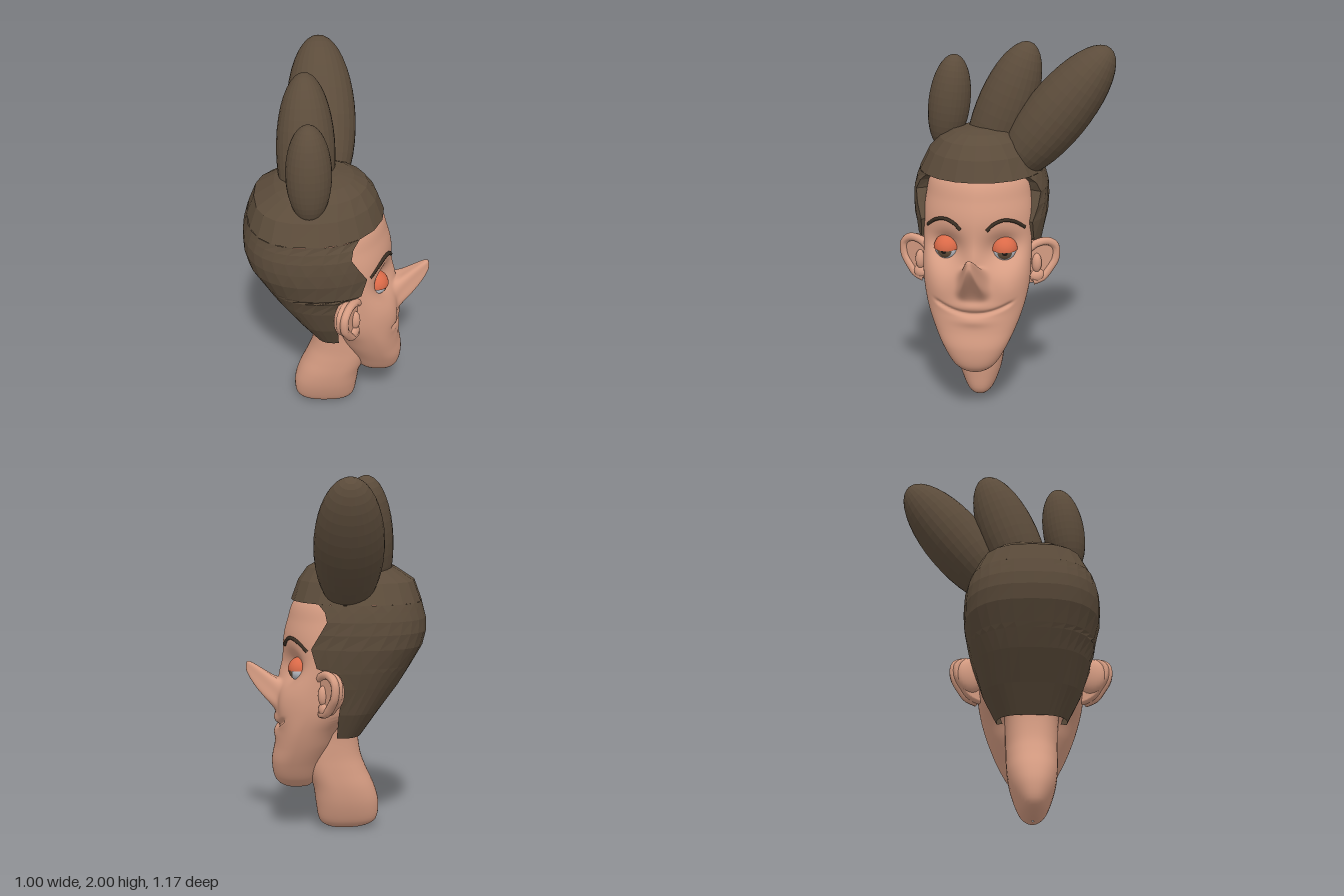
import * as THREE from 'three';

const mat = (name, color) => Object.assign(new THREE.MeshStandardMaterial({ color }), { name });
const gauss = (d, s) => Math.exp(-(d * d) / (2 * s * s));
const spow = (v, p) => Math.sign(v) * Math.pow(Math.abs(v), p);

// Skin of quads over a grid of points: rows run upward, columns from +x towards +z
function skin(rows, wrap, smooth) {
  const n = rows[0].length, index = [];
  for (let r = 0; r < rows.length - 1; r++) {
    for (let c = 0; c < (wrap ? n : n - 1); c++) {
      const a = r * n + c, b = r * n + (c + 1) % n;
      index.push(a, a + n, b, b, a + n, b + n);
    }
  }
  let g = new THREE.BufferGeometry();
  g.setAttribute('position', new THREE.Float32BufferAttribute(rows.flat(2), 3));
  g.setIndex(index);
  if (!smooth) g = g.toNonIndexed();
  g.computeVertexNormals();
  return g;
}

// Smoothly interpolates a table of [y, back, front, halfWidth] at t in 0..1
function sampleTable(table, t) {
  const f = t * (table.length - 1), i = Math.min(Math.floor(f), table.length - 2), k = f - i;
  const at = j => table[Math.max(0, Math.min(table.length - 1, j))];
  return table[i].map((_, c) => {
    const p0 = at(i - 1)[c], p1 = at(i)[c], p2 = at(i + 1)[c], p3 = at(i + 2)[c];
    return p1 + 0.5 * k * (p2 - p0 + k * (2 * p0 - 5 * p1 + 4 * p2 - p3 + k * (3 * (p1 - p2) + p3 - p0)));
  });
}

const headTable = [
  [0.245, 0.19, 0.21, 0.005], [0.25, 0.14, 0.28, 0.05], [0.3, 0.1, 0.335, 0.115], [0.4, 0.06, 0.352, 0.175],
  [0.5, 0.01, 0.335, 0.222], [0.6, -0.04, 0.322, 0.258], [0.7, -0.15, 0.322, 0.283],
  [0.8, -0.18, 0.315, 0.293], [0.95, -0.2, 0.293, 0.295], [1.1, -0.25, 0.283, 0.293],
  [1.2, -0.3, 0.26, 0.285], [1.3, -0.3, 0.225, 0.262], [1.4, -0.25, 0.13, 0.19], [1.46, -0.1, 0.0, 0.01],
];
const neckTable = [
  [0, -0.07, -0.05, 0.005], [0.008, -0.16, 0.03, 0.035], [0.05, -0.235, 0.085, 0.075], [0.15, -0.25, 0.105, 0.113],
  [0.25, -0.225, 0.12, 0.132], [0.35, -0.18, 0.16, 0.138], [0.45, -0.145, 0.18, 0.14],
  [0.6, -0.13, 0.15, 0.15], [0.75, -0.15, 0.1, 0.2],
];

// Roundness of the front half of a section: full cheeks, wedge-like forehead
const BROW_EXP = 1.7;
const frontExp = y => 2.3 - (2.3 - BROW_EXP) * THREE.MathUtils.smoothstep(y, 0.78, 1.02);

// Pushes the nose, sockets, lips and cheeks out of the plain head
function sculpt([x, y, z]) {
  if (x < 0) return [x, y, z];
  const off = Math.abs(z);
  const nose = Math.exp(-(((y - 0.772) / 0.066) ** 4) - (off / 0.06) ** 3);
  const smile = 0.605 + 0.045 * (off / 0.18) ** 2;
  let dx = 0.175 * nose;
  dx += 0.012 * gauss(y - 0.9, 0.05) * gauss(z, 0.035);
  dx += 0.025 * gauss(y - 0.73, 0.022) * gauss(off - 0.055, 0.02);
  dx -= 0.08 * gauss(y - 0.94, 0.06) * gauss(off - 0.148, 0.062);
  dx += 0.014 * gauss(y - 0.73, 0.06) * gauss(off - 0.2, 0.05);
  dx += 0.018 * gauss(y - 0.645, 0.022) * gauss(z, 0.07);
  dx += 0.014 * gauss(y - 0.565, 0.022) * gauss(z, 0.07);
  dx -= 0.018 * gauss(y - smile, 0.009) * (off < 0.18 ? 1 : gauss(off - 0.18, 0.02));
  return [x + dx, y + 0.165 * nose, z * (1 - 0.35 * nose)];
}

function loft(table, rowCount, cols, warp, rule = p => p) {
  const rows = [];
  for (let r = 0; r <= rowCount; r++) {
    const [y, back, front, w] = sampleTable(table, r / rowCount), cx = back + (front - back) * 0.6;
    rows.push(Array.from({ length: cols }, (_, c) => {
      const u = (c / cols) * Math.PI * 2, t = u - warp * Math.sin(u);
      const p = 2 / (Math.cos(t) > 0 ? frontExp(y) : 2.3);
      const cos = spow(Math.cos(t), p), sin = spow(Math.sin(t), p);
      return rule([cx + cos * (cos > 0 ? front - cx : cx - back), y, w * sin]);
    }));
  }
  return skin(rows, true, true);
}

// Hair around the sides and back: [y, back, front, halfWidth, hairline x]
const sideHair = [
  [0.555, -0.15, 0.1, 0.19, -0.01], [0.7, -0.25, 0.15, 0.265, -0.02], [0.85, -0.36, 0.28, 0.315, -0.04],
  [0.94, -0.415, 0.3, 0.34, 0.02], [0.965, -0.43, 0.3, 0.345, 0.1], [1.07, -0.49, 0.3, 0.368, 0.13],
  [1.15, -0.51, 0.3, 0.372, 0.085], [1.22, -0.508, 0.29, 0.368, 0.045], [1.27, -0.495, 0.26, 0.355, 0.055],
  [1.31, -0.485, 0.24, 0.342, 0.09],
];
// Hair over the crown, starting with a tucked-in underside
const crownHair = [
  [1.3, -0.3, 0.14, 0.22], [1.31, -0.485, 0.24, 0.342], [1.42, -0.445, 0.2, 0.287], [1.49, -0.34, 0.15, 0.225],
  [1.53, -0.22, 0.08, 0.15], [1.545, -0.1, 0.0, 0.05], [1.545, -0.05, -0.05, 0],
];
function hairGeometry(table) {
  const N = 20;
  return skin(table.map(([y, back, front, w, line = front]) => {
    const cx = (back + front) / 2, start = front > cx ? Math.acos((line - cx) / (front - cx)) : 0;
    const point = (t, s) => {
      const c = Math.cos(t), p = c < 0 ? 2 / 2.6 : 1;
      return [cx + s * spow(c, p) * (front - cx), y, s * w * spow(Math.sin(t), p)];
    };
    const row = [point(start, 0.82)];
    for (let j = 0; j <= N; j++) row.push(point(start + (2 * Math.PI - 2 * start) * j / N, 1));
    row.push(point(2 * Math.PI - start, 0.82));
    return row;
  }), false, false);
}

// x of the brow surface at a sideways offset
const browX = off => 0.07 + 0.213 * Math.pow(1 - Math.pow(off / 0.293, BROW_EXP), 1 / BROW_EXP);

export function createModel() {
  const skinMat = mat('skin', 0xd79d83), hairMat = mat('hair', 0x5c4c3b), browMat = mat('brow', 0x3a2f24);
  const lidMat = mat('eyelid', 0xdb6a48), whiteMat = mat('eyeWhite', 0xc6cad2);
  const irisMat = mat('iris', 0x66503c), pupilMat = mat('pupil', 0x1c1815);
  hairMat.side = THREE.DoubleSide;

  const model = new THREE.Group();
  const bust = new THREE.Group();
  bust.name = 'bust';
  bust.position.z = 0.14;
  model.add(bust);
  const add = (parent, name, geometry, material, x = 0, y = 0, z = 0) => {
    const m = new THREE.Mesh(geometry, material);
    m.name = name;
    m.position.set(x, y, z);
    parent.add(m);
    return m;
  };

  add(bust, 'head', loft(headTable, 190, 120, 0.55, sculpt), skinMat);
  add(bust, 'neck', loft(neckTable, 36, 40, 0), skinMat);
  add(bust, 'sideHair', hairGeometry(sideHair), hairMat);
  add(bust, 'crownHair', hairGeometry(crownHair), hairMat);

  // Three tall tufts: centre, radii (x, long, z), backward tilt
  [[-0.163, 1.655, 0.322, 0.118, 0.267, 0.115, -0.13],
   [-0.165, 1.6, 0.025, 0.155, 0.42, 0.16, -0.36],
   [-0.07, 1.63, -0.277, 0.187, 0.45, 0.172, -0.66]].forEach(([x, y, z, rx, ry, rz, tilt], i) => {
    const g = new THREE.SphereGeometry(1, 28, 20).scale(rx, ry, rz).toNonIndexed();
    g.computeVertexNormals();
    add(model, 'hairTuft' + (i + 1), g, hairMat, x, y, z).rotation.x = tilt;
  });

  // Ear outline: u runs outward from the head, v up
  const outline = [[0, 0.07], [0.05, 0.1], [0.12, 0.105], [0.17, 0.07], [0.17, 0.0],
    [0.13, -0.06], [0.09, -0.1], [0.03, -0.115], [0, -0.09]].map(p => new THREE.Vector2(...p));
  const earShape = new THREE.Shape().moveTo(0, 0.07);
  earShape.splineThru(outline.slice(1));
  const rim = new THREE.CatmullRomCurve3(outline.slice(0, 8).map(p => new THREE.Vector3(p.x, p.y, -0.012)));
  const ball = (x, y, z) => new THREE.SphereGeometry(1, 20, 14).scale(x, y, z);

  for (const side of [1, -1]) {
    const half = new THREE.Group();
    half.name = side > 0 ? 'leftSide' : 'rightSide';
    half.scale.z = side;
    bust.add(half);

    const ear = new THREE.Group();
    ear.name = 'ear';
    ear.position.set(0.08, 0.83, 0.265);
    ear.rotation.y = Math.atan2(-0.87, -0.5);
    half.add(ear);
    add(ear, 'earShell', new THREE.ExtrudeGeometry(earShape,
      { depth: 0.02, bevelThickness: 0.015, bevelSize: 0.012, bevelSegments: 4, curveSegments: 5 }), skinMat);
    add(ear, 'earBack', ball(0.08, 0.1, 0.045), skinMat, 0.095, 0.015, 0.03);
    add(ear, 'earRim', new THREE.TubeGeometry(rim, 40, 0.023, 8), skinMat);
    add(ear, 'earLobe', ball(0.045, 0.04, 0.035), skinMat, 0.06, -0.085, -0.005);
    add(ear, 'earFold', ball(0.028, 0.055, 0.03), skinMat, 0.055, -0.01, -0.015);

    // Eye: ball, iris and pupil caps, drooping upper lid
    const eye = new THREE.Group();
    eye.name = 'eye';
    eye.position.set(0.187, 0.938, 0.155);
    eye.rotation.y = -0.15;
    half.add(eye);
    const cap = (r, a) => new THREE.SphereGeometry(r, 24, 8, 0, Math.PI * 2, 0, a).rotateZ(-Math.PI / 2 - 0.12);
    add(eye, 'eyeball', new THREE.SphereGeometry(0.065, 28, 20), whiteMat);
    add(eye, 'iris', cap(0.0662, 0.65), irisMat);
    add(eye, 'pupil', cap(0.0672, 0.22), pupilMat);
    add(eye, 'eyelid', new THREE.SphereGeometry(0.071, 28, 12, 0, Math.PI * 2, 0, Math.PI / 2), lidMat).rotation.z = -0.05;

    // Arched eyebrow lying on the forehead
    const browCurve = new THREE.CatmullRomCurve3([[0.07, 1.062], [0.105, 1.095], [0.155, 1.112], [0.21, 1.097], [0.262, 1.05]]
      .map(([off, y]) => new THREE.Vector3(browX(off) + 0.003, y, off)));
    add(half, 'eyebrow', new THREE.TubeGeometry(browCurve, 24, 0.01, 6), browMat);
  }
  return model;
}
